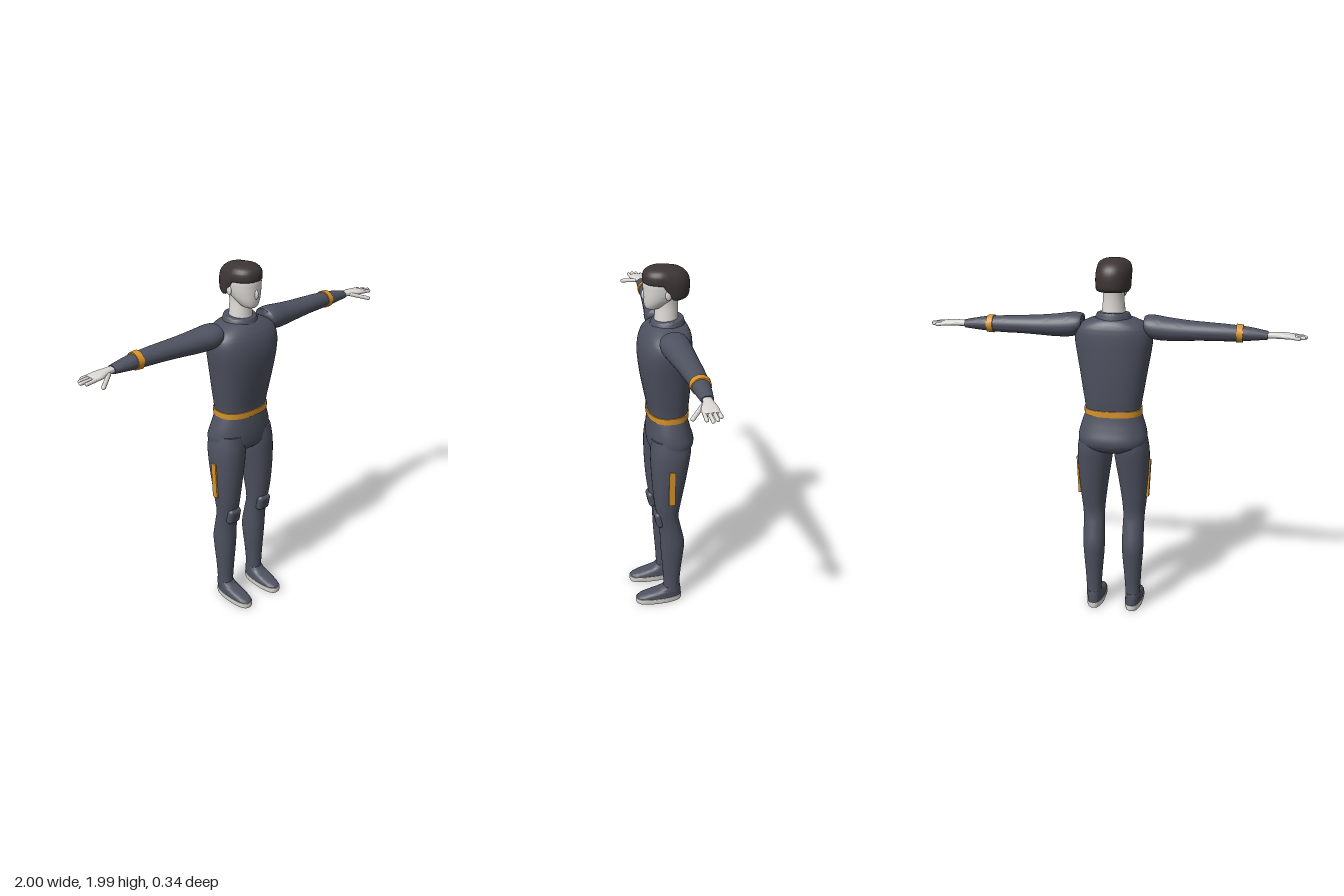
import * as THREE from 'three';
import { toCreasedNormals } from 'three/addons/utils/BufferGeometryUtils.js';
import { RoundedBoxGeometry } from 'three/addons/geometries/RoundedBoxGeometry.js';

// Smooth Catmull-Rom blend of four numbers
const blend = (a, b, c, d, t) =>
  0.5 * (2 * b + (c - a) * t + (2 * a - 5 * b + 4 * c - d) * t * t + (3 * b - a - 3 * c + d) * t * t * t);

// Skin over cross-sections [t, u0, u1, v0, v1].
// axis 'y': t = y, u = x, v = z.  axis 'x': t = x, u = y, v = z.
function loft(sections, { axis = 'y', steps = 4, power = 2, sides = 32, warp = null, crease = 0.9 } = {}) {
  const rings = [];
  const last = sections.length - 1;
  for (let i = 0; i < last; i++) {
    const [a, b, c, d] = [Math.max(i - 1, 0), i, i + 1, Math.min(i + 2, last)].map((k) => sections[k]);
    for (let s = 0; s < steps; s++) rings.push(b.map((_, k) => blend(a[k], b[k], c[k], d[k], s / steps)));
  }
  rings.push(sections[last]);

  const pos = [], index = [];
  const put = (u, t, v) => {
    const p = axis === 'y' ? [u, t, v] : [t, u, v];
    pos.push(...(warp ? warp(...p) : p));
  };
  const round = (c) => Math.sign(c) * Math.abs(c) ** (2 / power);
  const tri = (a, b, c) => (axis === 'y' ? index.push(a, b, c) : index.push(a, c, b));
  for (const [t, u0, u1, v0, v1] of rings) {
    for (let j = 0; j < sides; j++) {
      const ang = (j / sides) * Math.PI * 2;
      put((u0 + u1) / 2 + ((u1 - u0) / 2) * round(Math.cos(ang)), t,
        (v0 + v1) / 2 + ((v1 - v0) / 2) * round(Math.sin(ang)));
    }
  }
  const n = rings.length;
  for (const r of [rings[0], rings[n - 1]]) put((r[1] + r[2]) / 2, r[0], (r[3] + r[4]) / 2);
  for (let j = 0; j < sides; j++) {
    const k = (j + 1) % sides;
    for (let i = 0; i < n - 1; i++) {
      const a = i * sides + j, b = i * sides + k;
      tri(a, a + sides, b);
      tri(b, a + sides, b + sides);
    }
    tri(n * sides, j, k);
    tri(n * sides + 1, (n - 1) * sides + k, (n - 1) * sides + j);
  }
  const geo = new THREE.BufferGeometry();
  geo.setAttribute('position', new THREE.Float32BufferAttribute(pos, 3));
  geo.setIndex(index);
  return toCreasedNormals(geo, crease);
}

// Section symmetric about x = 0: [y, half width, back z, front z]
const sym = (rows) => rows.map(([y, w, back, front]) => [y, -w, w, back, front]);

// Copy of a geometry reflected in x, with corner order restored
function mirrored(geo) {
  const g = geo.index ? geo.toNonIndexed() : geo.clone();
  g.scale(-1, 1, 1);
  for (const attr of Object.values(g.attributes)) {
    for (let i = 0; i < attr.count; i += 3) {
      for (let k = 0; k < attr.itemSize; k++) {
        const v = attr.getComponent(i + 1, k);
        attr.setComponent(i + 1, k, attr.getComponent(i + 2, k));
        attr.setComponent(i + 2, k, v);
      }
    }
  }
  return g;
}

// Rounded finger between two points
function finger(from, to, radius) {
  const a = new THREE.Vector3(...from), b = new THREE.Vector3(...to);
  const dir = b.clone().sub(a);
  const geo = new THREE.CapsuleGeometry(radius, dir.length() - radius, 4, 10);
  geo.applyQuaternion(new THREE.Quaternion().setFromUnitVectors(new THREE.Vector3(0, 1, 0), dir.clone().normalize()));
  return geo.translate(...a.add(b).multiplyScalar(0.5).toArray());
}

const ball = (x, y, z, rx, ry, rz) =>
  new THREE.SphereGeometry(1, 16, 12).scale(rx, ry, rz).translate(x, y, z);

export function createModel() {
  const material = (name, color) => new THREE.MeshStandardMaterial({ name, color });
  const suit = material('slate suit', 0x4e5260);
  const skin = material('pale skin', 0xdcd9d5);
  const hair = material('dark hair', 0x3d3535);
  const trim = material('amber trim', 0xd8942c);
  const sole = material('white sole', 0xe2dfd8);

  const model = new THREE.Group();
  model.name = 'figure';
  const add = (name, geo, mat) => {
    const mesh = new THREE.Mesh(geo, mat);
    mesh.name = name;
    model.add(mesh);
  };
  const pair = (name, geo, mat) => {
    add(name + 'Left', geo, mat);
    add(name + 'Right', mirrored(geo), mat);
  };

  // Torso, pelvis, belt and collar
  add('torso', loft(sym([
    [1.17, 0.147, -0.13, 0.077], [1.22, 0.152, -0.137, 0.082], [1.3, 0.165, -0.143, 0.097],
    [1.4, 0.181, -0.148, 0.115], [1.5, 0.198, -0.15, 0.126], [1.57, 0.206, -0.15, 0.122],
    [1.62, 0.198, -0.147, 0.107], [1.65, 0.172, -0.14, 0.088], [1.675, 0.12, -0.125, 0.065],
    [1.69, 0.07, -0.1, 0.04]]), { power: 2.4, sides: 40 }), suit);
  add('pelvis', loft(sym([
    [1.18, 0.148, -0.13, 0.077], [1.13, 0.165, -0.139, 0.081], [1.08, 0.18, -0.152, 0.084],
    [1.03, 0.187, -0.166, 0.084], [0.99, 0.172, -0.156, 0.078], [0.96, 0.12, -0.12, 0.055],
    [0.95, 0.05, -0.07, 0.02]]).reverse(), { power: 2.3, sides: 40 }), suit);
  add('belt', loft(sym([[1.164, 0.155, -0.139, 0.084], [1.197, 0.156, -0.14, 0.085]]),
    { power: 2.4, steps: 1, sides: 40 }), trim);
  add('collar', loft(sym([
    [1.64, 0.115, -0.125, 0.08], [1.67, 0.1, -0.12, 0.068], [1.705, 0.086, -0.112, 0.055], [1.71, 0.078, -0.104, 0.047]]),
    { warp: (x, y, z) => [x, y - 0.08 * (z + 0.03), z] }), suit);

  // Neck and head
  add('neck', loft(sym([
    [1.64, 0.07, -0.09, 0.045], [1.73, 0.06, -0.083, 0.038], [1.79, 0.055, -0.083, 0.036], [1.85, 0.06, -0.09, 0.04]])), skin);
  add('head', loft(sym([
    [1.764, 0.022, 0.03, 0.075], [1.775, 0.042, 0.0, 0.088], [1.8, 0.06, -0.035, 0.094],
    [1.83, 0.074, -0.075, 0.096], [1.87, 0.083, -0.1, 0.097], [1.91, 0.086, -0.115, 0.096],
    [1.95, 0.075, -0.1, 0.075], [1.975, 0.03, -0.05, 0.025]]), { power: 2.1 }), skin);
  add('nose', ball(0, 1.84, 0.095, 0.011, 0.026, 0.012), skin);
  pair('ear', ball(0.082, 1.855, -0.018, 0.009, 0.027, 0.017), skin);

  // Hair cap: high over the face, low at the nape
  const hairline = (z) => 1.825 + 0.08 * THREE.MathUtils.smoothstep(z, -0.05, 0.015);
  add('hair', loft(sym([
    [0, 0.088, -0.125, 0.095], [0.12, 0.093, -0.139, 0.1], [0.5, 0.092, -0.142, 0.098],
    [0.75, 0.08, -0.127, 0.085], [0.92, 0.054, -0.09, 0.055], [1, 0.008, -0.03, 0]]),
    { power: 2.2, warp: (x, t, z) => [x, THREE.MathUtils.lerp(hairline(z), 1.987, t), z] }), hair);

  // Arms with sleeve bands
  pair('arm', loft([
    [0.165, 1.62, 1.692, -0.085, 0.035], [0.178, 1.595, 1.698, -0.095, 0.048],
    [0.22, 1.574, 1.7, -0.102, 0.052], [0.3, 1.571, 1.69, -0.102, 0.038],
    [0.4, 1.577, 1.681, -0.1, 0.025], [0.5, 1.582, 1.676, -0.098, 0.014],
    [0.6, 1.584, 1.671, -0.094, 0.004], [0.7, 1.59, 1.662, -0.086, -0.002],
    [0.8, 1.6, 1.643, -0.073, -0.012]], { axis: 'x' }), suit);
  pair('sleeveBand', loft([
    [0.64, 1.58, 1.675, -0.098, 0.006], [0.674, 1.582, 1.672, -0.095, 0.004]], { axis: 'x', steps: 1 }), trim);

  // Hands
  pair('palm', loft([
    [0.78, 1.608, 1.637, -0.064, -0.022], [0.83, 1.607, 1.638, -0.066, -0.012],
    [0.88, 1.606, 1.636, -0.072, 0.008], [0.92, 1.607, 1.631, -0.072, 0.011],
    [0.935, 1.611, 1.627, -0.067, 0.006]], { axis: 'x', power: 2.5, sides: 24 }), skin);
  [[-0.062, -0.066, 0.965], [-0.041, -0.044, 0.99], [-0.02, -0.021, 1], [0.001, 0.004, 0.983]].forEach(([z0, z1, tip], i) =>
    pair('finger' + (i + 1), finger([0.9, 1.62, z0], [tip - 0.005, 1.613, z1], 0.0095), skin));
  pair('thumb', finger([0.835, 1.62, -0.016], [0.92, 1.594, 0.055], 0.011), skin);

  // Legs
  pair('leg', loft([
    [0.07, 0.07, 0.155, -0.084, 0.015], [0.12, 0.07, 0.154, -0.08, 0.012],
    [0.22, 0.063, 0.159, -0.088, 0.018], [0.32, 0.054, 0.166, -0.1, 0.026],
    [0.4, 0.05, 0.17, -0.105, 0.031], [0.5, 0.052, 0.17, -0.084, 0.036],
    [0.58, 0.053, 0.173, -0.07, 0.05], [0.68, 0.043, 0.184, -0.085, 0.066],
    [0.8, 0.026, 0.194, -0.108, 0.077], [0.9, 0.01, 0.198, -0.126, 0.082],
    [0.98, 0.004, 0.194, -0.138, 0.083], [1.06, 0.015, 0.178, -0.13, 0.075]], { power: 2.15 }), suit);
  pair('kneePad', new RoundedBoxGeometry(0.084, 0.096, 0.05, 4, 0.022)
    .rotateX(0.2).translate(0.112, 0.565, 0.038), suit);
  pair('thighStripe', new THREE.BoxGeometry(0.03, 0.21, 0.034)
    .rotateZ(-0.045).translate(0.186, 0.795, -0.018), trim);

  // Shoes and soles
  const taper = (x, y, z) => [0.11 + (x - 0.11) * (1 - 0.12 * THREE.MathUtils.smoothstep(-z, -0.02, 0.09)), y, z];
  pair('shoe', loft([
    [0.028, 0.061, 0.159, -0.09, 0.171], [0.045, 0.062, 0.158, -0.09, 0.16],
    [0.062, 0.065, 0.157, -0.088, 0.105], [0.08, 0.068, 0.156, -0.086, 0.04],
    [0.1, 0.071, 0.154, -0.083, 0.014]], { power: 2.6, warp: taper }), suit);
  pair('sole', loft([
    [0, 0.063, 0.157, -0.088, 0.17], [0.01, 0.059, 0.161, -0.092, 0.175],
    [0.033, 0.059, 0.161, -0.092, 0.174]], { power: 2.6, steps: 1, warp: taper }), sole);

  return model;
}
